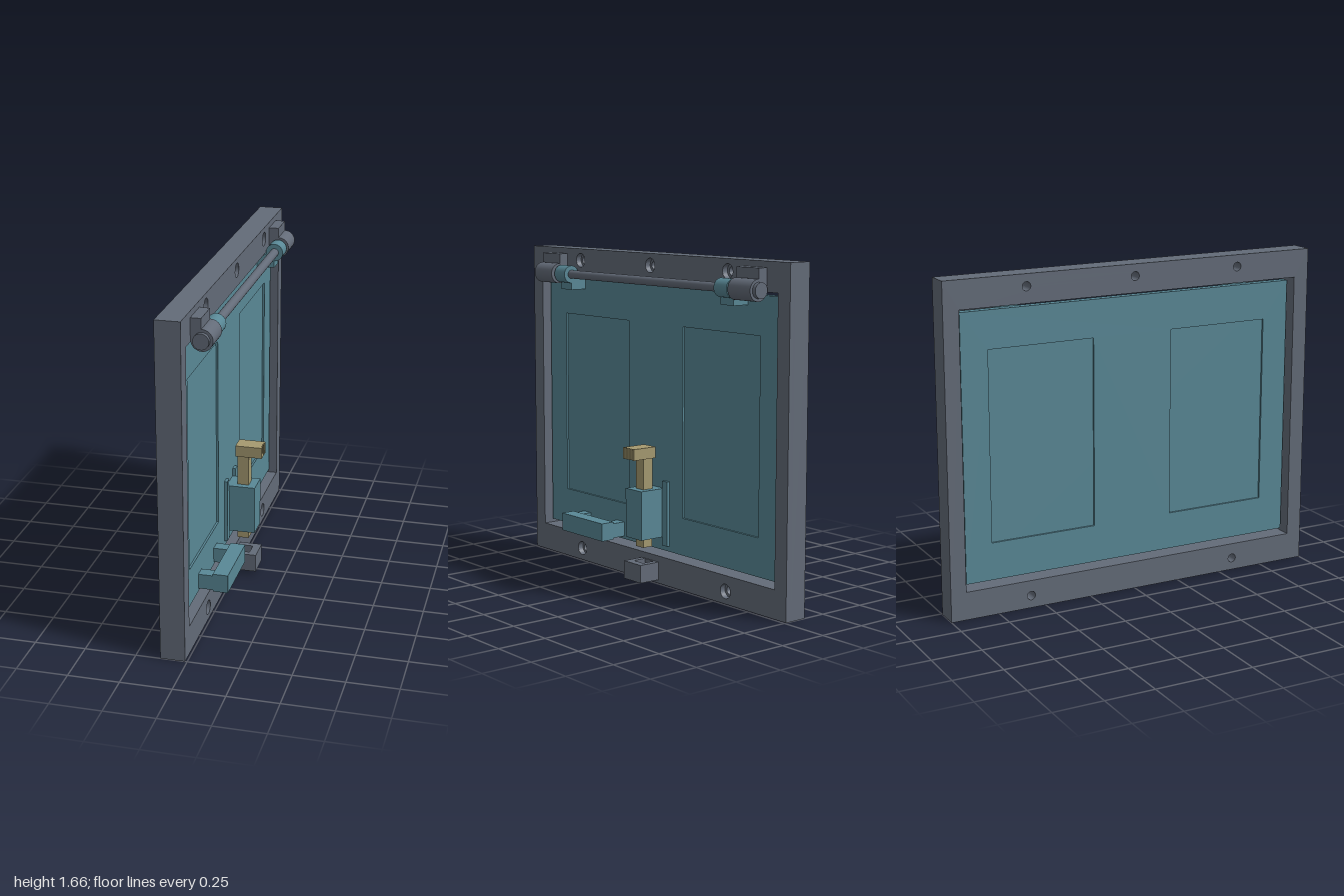
import * as THREE from 'three';

const steel = new THREE.MeshStandardMaterial({ color: 0x636b78 });
const teal = new THREE.MeshStandardMaterial({ color: 0x598896 });
const brass = new THREE.MeshStandardMaterial({ color: 0xa59a70 });

export function createModel() {
  const root = new THREE.Group();

  const add = (parent, name, geometry, material) => {
    const mesh = new THREE.Mesh(geometry, material);
    mesh.name = name;
    parent.add(mesh);
    return mesh;
  };
  const group = (name) => {
    const g = new THREE.Group();
    g.name = name;
    root.add(g);
    return g;
  };
  // Box given by its limits on each axis
  const box = (parent, name, material, [x0, x1], [y0, y1], [z0, z1]) =>
    add(parent, name, new THREE.BoxGeometry(x1 - x0, y1 - y0, z1 - z0), material)
      .position.set((x0 + x1) / 2, (y0 + y1) / 2, (z0 + z1) / 2);
  // Cylinder lying along z
  const rod = (parent, name, material, r, z0, z1, x, y) =>
    add(parent, name, new THREE.CylinderGeometry(r, r, z1 - z0, 32).rotateX(Math.PI / 2), material)
      .position.set(x, y, (z0 + z1) / 2);
  // Closed rectangle and circle in the z-y plane
  const rect = (Type, [z0, z1], [y0, y1]) => new Type([
    [-z1, y0], [-z0, y0], [-z0, y1], [-z1, y1],
  ].map(([a, b]) => new THREE.Vector2(a, b)));
  const circle = (z, y, r) => new THREE.Path().absarc(-z, y, r, 0, Math.PI * 2, true);
  // Upright slab between x0 and x1, with holes
  const slab = (parent, name, material, x0, x1, z, y, holes) => {
    const shape = rect(THREE.Shape, z, y);
    shape.holes.push(...holes);
    const g = new THREE.ExtrudeGeometry(shape, { depth: x1 - x0, bevelEnabled: false, curveSegments: 24 });
    add(parent, name, g.rotateY(Math.PI / 2).translate(x0, 0, 0), material);
  };

  // Frame with counterbored bolt holes
  const frame = group('frame');
  const bolts = [[0.577, 1.605], [0, 1.605], [-0.577, 1.605], [0.577, 0.063], [-0.577, 0.063]];
  for (const [name, x0, x1, r] of [['frameBack', -0.13, -0.04, 0.022], ['frameFront', -0.04, -0.01, 0.036]]) {
    slab(frame, name, steel, x0, x1, [-1, 1], [0, 1.665], [
      rect(THREE.Path, [-0.92, 0.92], [0.142, 1.523]),
      ...bolts.map(([z, y]) => circle(z, y, r)),
    ]);
  }

  // Door leaf with two recessed fields on each face
  const door = group('door');
  const doorZ = [-0.902, 0.902], doorY = [0.165, 1.503];
  box(door, 'doorCore', teal, [-0.08, -0.06], doorY, doorZ);
  for (const [name, x0, x1] of [['doorFrontSkin', -0.06, -0.05], ['doorBackSkin', -0.09, -0.08]]) {
    slab(door, name, teal, x0, x1, doorZ, doorY, [
      rect(THREE.Path, [0.222, 0.763], [0.355, 1.313]),
      rect(THREE.Path, [-0.763, -0.207], [0.355, 1.313]),
    ]);
  }

  // Hinge: long pin, frame knuckles with leaves, door knuckles with brackets
  const hinge = group('hinge');
  const hx = 0.042, hy = 1.533;
  rod(hinge, 'hingePin', steel, 0.022, -0.85, 0.85, hx, hy);
  for (const s of [1, -1]) {
    const span = (a, b) => [Math.min(a * s, b * s), Math.max(a * s, b * s)];
    rod(hinge, 'frameKnuckle', steel, 0.052, ...span(0.693, 0.846), hx, hy);
    rod(hinge, 'pinCap', steel, 0.038, ...span(0.84, 0.866), hx, hy);
    box(hinge, 'frameLeaf', steel, [-0.015, 0.04], [1.535, 1.635], span(0.693, 0.846));
    rod(hinge, 'doorKnuckle', teal, 0.045, ...span(0.588, 0.677), hx, hy);
    box(hinge, 'doorBracket', teal, [-0.055, 0.042], [1.452, 1.52], span(0.588, 0.677));
  }

  // Sliding bolt latch
  const latch = group('latch');
  box(latch, 'latchHousing', teal, [-0.055, 0.097], [0.235, 0.485], [-0.063, 0.063]);
  box(latch, 'latchRail', teal, [-0.055, -0.035], [0.193, 0.525], [0.065, 0.105]);
  box(latch, 'latchRail', teal, [-0.055, -0.035], [0.193, 0.525], [-0.105, -0.065]);
  box(latch, 'latchBolt', brass, [0, 0.058], [0.187, 0.66], [-0.03, 0.03]);
  box(latch, 'latchKnob', brass, [-0.008, 0.122], [0.643, 0.7], [-0.045, 0.045]);
  for (const z of [-0.036, -0.012, 0.012, 0.036]) {
    box(latch, 'knobRidge', brass, [0.12, 0.128], [0.643, 0.7], [z - 0.008, z + 0.008]);
  }

  // Keeper on the sill, open top and bottom to take the bolt
  const keeper = group('keeper');
  const ky = [0.018, 0.11];
  box(keeper, 'keeperBack', steel, [-0.015, -0.005], ky, [-0.067, 0.067]);
  box(keeper, 'keeperFront', steel, [0.065, 0.105], ky, [-0.067, 0.067]);
  box(keeper, 'keeperSide', steel, [-0.005, 0.065], ky, [0.036, 0.067]);
  box(keeper, 'keeperSide', steel, [-0.005, 0.065], ky, [-0.067, -0.036]);

  // Grab handle on two feet
  const handle = group('handle');
  box(handle, 'handleBar', teal, [0.022, 0.097], [0.172, 0.265], [0.262, 0.612]);
  for (const z of [0.262, 0.552]) {
    box(handle, 'handleFoot', teal, [-0.055, 0.03], [0.18, 0.256], [z, z + 0.06]);
  }

  return root;
}
